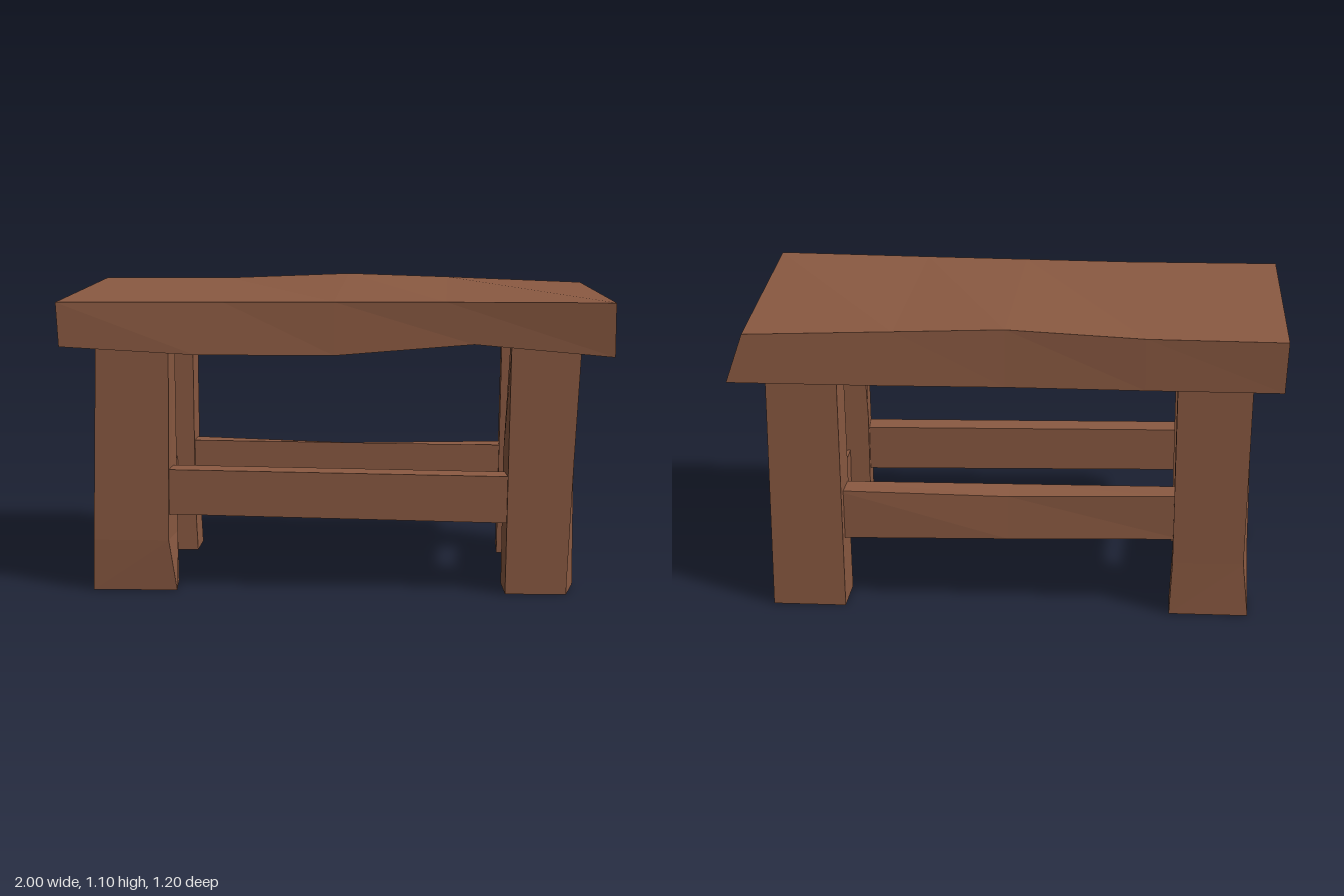
import * as THREE from 'three';

const wood = new THREE.MeshStandardMaterial({ color: 0x8b5a42, flatShading: true });
wood.name = 'wood';

// Rough-hewn beam: four-cornered rings joined along its length, capped at both ends.
// Rings run counter-clockwise when seen from the last ring's end.
function beam(name, rings) {
  const out = [];
  const quad = (a, b, c, d) => out.push(...a, ...b, ...c, ...a, ...c, ...d);
  for (let r = 0; r < rings.length - 1; r++) {
    for (let i = 0; i < 4; i++) {
      const j = (i + 1) % 4;
      quad(rings[r][i], rings[r][j], rings[r + 1][j], rings[r + 1][i]);
    }
  }
  const [a, b, c, d] = rings[0];
  quad(d, c, b, a);
  quad(...rings[rings.length - 1]);
  const geometry = new THREE.BufferGeometry();
  geometry.setAttribute('position', new THREE.Float32BufferAttribute(out, 3));
  geometry.computeVertexNormals();
  const mesh = new THREE.Mesh(geometry, wood);
  mesh.name = name;
  return mesh;
}

// Upright ring at height y
const level = (y, x0, x1, z0, z1) => [[x1, y, z1], [x1, y, z0], [x0, y, z0], [x0, y, z1]];

// Ring across a beam that runs along x: top/bottom heights at front and back
const acrossX = (x, top, bottom, z0, z1) =>
  [[x, top, z1], [x, bottom, z1], [x, bottom, z0], [x, top, z0]];

// Ring across a beam that runs along z: separate top heights for its two edges
const acrossZ = (z, x0, x1, top0, top1, bottom0, bottom1) =>
  [[x1, top1, z], [x0, top0, z], [x0, bottom0, z], [x1, bottom1, z]];

export function createModel() {
  const group = new THREE.Group();
  group.name = 'table';

  // Thick top with uneven edges, a dented front and one slanted end
  group.add(beam('tableTop', [
    [[-1, 1.08, 0.58], [-0.99, 0.92, 0.585], [-0.99, 0.893, -0.59], [-1, 1.08, -0.595]],
    [[-0.4, 1.082, 0.56], [-0.5, 0.893, 0.58], [-0.5, 0.893, -0.59], [-0.5, 1.082, -0.59]],
    [[0, 1.084, 0.567], [0, 0.893, 0.578], [0, 0.893, -0.585], [0, 1.103, -0.577]],
    [[0.4, 1.086, 0.575], [0.5, 0.935, 0.575], [0.5, 0.893, -0.598], [0.4, 1.09, -0.585]],
    [[1, 1.088, 0.598], [1, 0.893, 0.585], [1, 0.893, -0.597], [0.94, 1.07, -0.585]],
  ]));

  // Four legs, each slightly out of true
  group.add(beam('frontRightLeg', [
    [[-0.59, 0, 0.44], [-0.605, 0, 0.265], [-0.9, 0, 0.265], [-0.9, 0, 0.445]],
    [[-0.618, 0.19, 0.453], [-0.608, 0.19, 0.265], [-0.897, 0.19, 0.265], [-0.896, 0.19, 0.453]],
    level(0.91, -0.88, -0.612, 0.27, 0.45),
  ]));
  group.add(beam('frontLeftLeg', [
    [[0.845, 0, 0.445], [0.877, 0, 0.26], [0.61, 0, 0.26], [0.622, 0, 0.445]],
    [[0.868, 0.5, 0.442], [0.876, 0.5, 0.264], [0.615, 0.5, 0.264], [0.63, 0.5, 0.442]],
    level(0.91, 0.637, 0.89, 0.268, 0.44),
  ]));
  group.add(beam('backLeftLeg', [
    level(0, 0.605, 0.875, -0.492, -0.303),
    level(0.91, 0.62, 0.88, -0.485, -0.315),
  ]));
  group.add(beam('backRightLeg', [
    level(0, -0.89, -0.6, -0.485, -0.305),
    [[-0.61, 0.2, -0.305], [-0.61, 0.2, -0.485], [-0.87, 0.2, -0.48], [-0.888, 0.2, -0.305]],
    level(0.91, -0.886, -0.615, -0.485, -0.31),
  ]));

  // Long rails, ends sunk into the legs
  group.add(beam('frontRail', [
    acrossX(-0.64, 0.452, 0.285, 0.325, 0.435),
    acrossX(0.65, 0.435, 0.262, 0.32, 0.43),
  ]));
  group.add(beam('backRail', [
    acrossX(-0.64, 0.445, 0.278, -0.44, -0.33),
    [[0, 0.44, -0.33], [0, 0.262, -0.33], [0, 0.262, -0.44], [0, 0.425, -0.43]],
    acrossX(0.64, 0.435, 0.25, -0.44, -0.33),
  ].map((ring) => ring)));

  // Short side rails with sloping tops
  group.add(beam('leftRail', [
    acrossZ(-0.33, 0.69, 0.865, 0.335, 0.333, 0.17, 0.18),
    acrossZ(0.29, 0.69, 0.865, 0.357, 0.318, 0.144, 0.155),
  ]));
  group.add(beam('rightRail', [
    acrossZ(-0.33, -0.868, -0.68, 0.4, 0.385, 0.205, 0.2),
    acrossZ(0.29, -0.868, -0.68, 0.374, 0.35, 0.215, 0.2),
  ]));

  return group;
}
